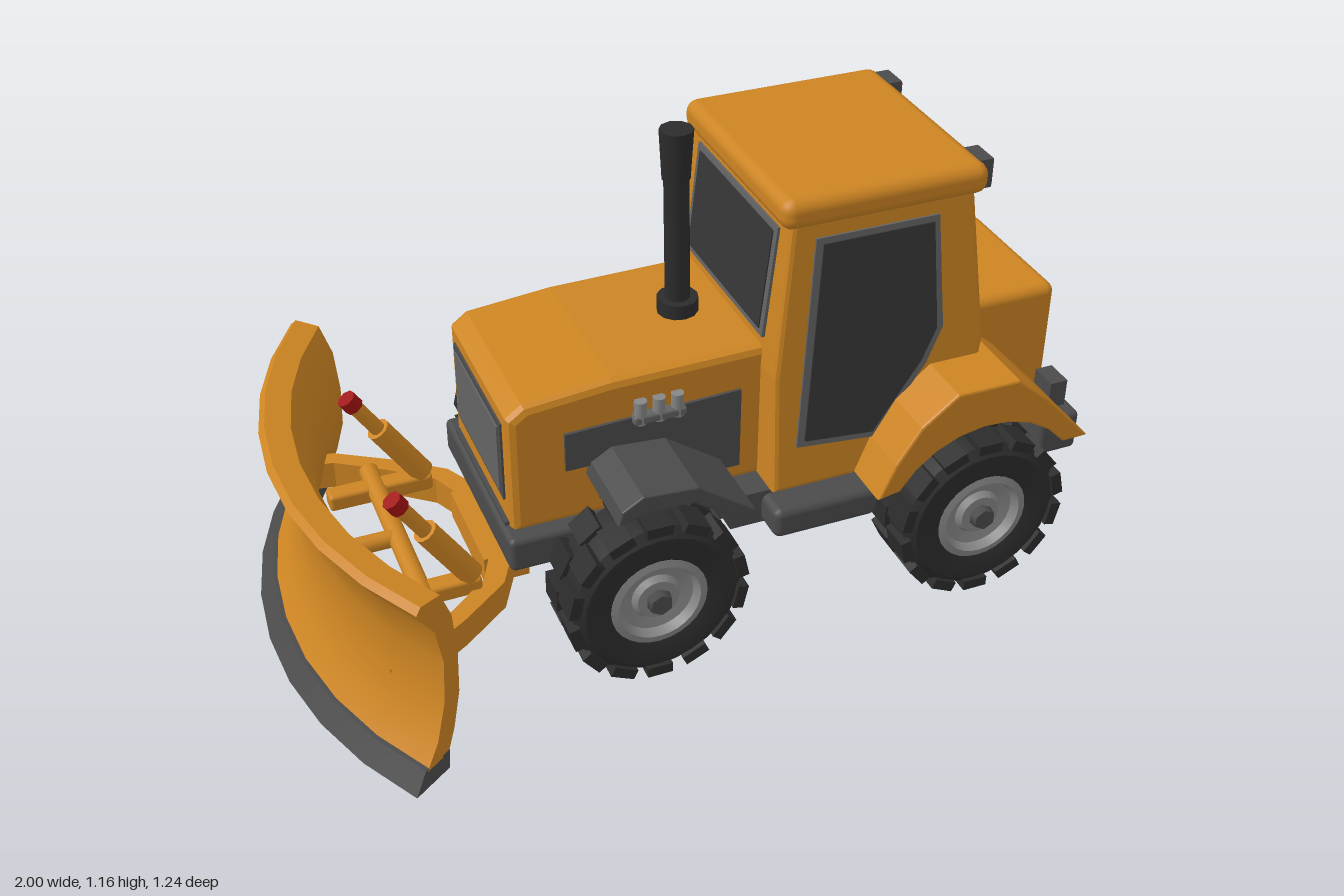
import * as THREE from 'three';
import { toCreasedNormals } from 'three/addons/utils/BufferGeometryUtils.js';
import { RoundedBoxGeometry } from 'three/addons/geometries/RoundedBoxGeometry.js';

const paint = (name, color) => Object.assign(new THREE.MeshStandardMaterial({ color }), { name });

export function createModel() {
  const orange = paint('orange paint', 0xcc8422);
  const rubber = paint('tyre rubber', 0x2c2c2c);
  const steel = paint('dark steel', 0x4b4b4b);
  const trim = paint('grey trim', 0x636363);
  const alloy = paint('rim grey', 0x868686);
  const glass = paint('dark glass', 0x363636);
  const red = paint('red lamp', 0xa01212);

  const model = new THREE.Group();
  model.name = 'bulldozer';
  const add = (name, geo, mat, parent = model) => {
    const mesh = new THREE.Mesh(geo, mat);
    mesh.name = name;
    parent.add(mesh);
    return mesh;
  };

  // Box given by its limits, optionally rounded
  const box = (name, mat, [x0, x1], [y0, y1], [z0, z1], r = 0, parent = model) => {
    const s = [x1 - x0, y1 - y0, z1 - z0];
    const geo = r ? new RoundedBoxGeometry(...s, 2, r) : new THREE.BoxGeometry(...s);
    geo.translate((x0 + x1) / 2, (y0 + y1) / 2, (z0 + z1) / 2);
    return add(name, geo, mat, parent);
  };

  // Side profile extruded from z0 to z1 with a small bevel inside the outline
  const outline = (pts) => new THREE.Shape(pts.map(([x, y]) => new THREE.Vector2(x, y)));
  const prismGeo = (pts, z0, z1, b = 0) => {
    const geo = new THREE.ExtrudeGeometry(outline(pts), {
      depth: z1 - z0 - 2 * b, bevelEnabled: b > 0, bevelSize: b, bevelThickness: b, bevelOffset: -b, bevelSegments: 2,
    });
    return geo.translate(0, 0, z0 + b);
  };
  const prism = (name, mat, pts, z0, z1, b) => add(name, prismGeo(pts, z0, z1, b), mat);
  const sideways = (s, z0, z1) => (s > 0 ? [z0, z1] : [-z1, -z0]);

  // Cylinder between two points
  const rod = (name, mat, a, b, r, sides = 12, r2 = r, parent = model) => {
    const p = new THREE.Vector3(...a), q = new THREE.Vector3(...b);
    const dir = q.clone().sub(p);
    const mesh = add(name, new THREE.CylinderGeometry(r2, r, dir.length(), sides), mat, parent);
    mesh.position.copy(p).add(q).multiplyScalar(0.5);
    mesh.quaternion.setFromUnitVectors(new THREE.Vector3(0, 1, 0), dir.normalize());
    return mesh;
  };

  // Cab walls lean inwards towards the roof
  const taper = (geo) => {
    const p = geo.attributes.position;
    for (let i = 0; i < p.count; i++) p.setZ(i, p.getZ(i) * (1 - 0.2 * (p.getY(i) - 0.6)));
    geo.computeVertexNormals();
    return geo;
  };

  // Chassis, bumpers and steps
  box('chassis', steel, [-0.46, 0.9], [0.24, 0.35], [-0.2, 0.2]);
  box('frontChassis', steel, [-0.47, 0.17], [0.25, 0.34], [-0.265, 0.265], 0.015);
  box('step', steel, [0.14, 0.41], [0.25, 0.33], [-0.38, 0.38], 0.02);
  prism('fuelTank', steel, [[0.02, 0.34], [0.06, 0.25], [0.4, 0.25], [0.46, 0.34]], -0.3, 0.3);
  box('rearBumper', steel, [0.89, 1.0], [0.245, 0.355], [-0.315, 0.315], 0.015);

  // Engine hood, grille and rear body
  prism('hood', orange, [[-0.45, 0.33], [-0.45, 0.64], [-0.41, 0.67], [-0.2, 0.69], [0.18, 0.695], [0.18, 0.33]], -0.225, 0.225, 0.02);
  box('grilleFrame', steel, [-0.455, -0.445], [0.4, 0.61], [-0.18, 0.18]);
  box('grille', trim, [-0.459, -0.45], [0.415, 0.595], [-0.165, 0.165]);
  box('rearBody', orange, [0.6, 0.965], [0.34, 0.665], [-0.195, 0.195], 0.025);

  // Exhaust stack
  rod('exhaustBase', rubber, [0.045, 0.68, 0], [0.045, 0.73, 0], 0.05);
  rod('exhaustPipe', rubber, [0.045, 0.72, 0], [0.04, 1.08, 0], 0.03);
  rod('exhaustTip', rubber, [0.04, 1.04, 0], [0.04, 1.165, 0], 0.033, 10, 0.04);

  // Cab shell with roof
  const cabSide = [[0.16, 0.34], [0.16, 0.65], [0.2, 1.04], [0.65, 1.04], [0.7, 0.64], [0.68, 0.5], [0.5, 0.5], [0.41, 0.34]];
  add('cab', taper(prismGeo(cabSide, -0.305, 0.305, 0.012)), orange);
  box('roof', orange, [0.175, 0.685], [1.015, 1.09], [-0.29, 0.29], 0.03);

  // Front and rear windows, leaning with the cab
  for (const [name, x, y, w, h, tilt] of [['rear', 0.6715, 0.842, 0.45, 0.295, 0.119], ['front', 0.1805, 0.86, 0.45, 0.28, -0.108]]) {
    const pane = new THREE.Group();
    pane.name = name + 'Window';
    pane.position.set(x, y, 0);
    pane.rotation.z = tilt;
    model.add(pane);
    add(name + 'WindowFrame', new THREE.BoxGeometry(0.012, h, w), trim, pane);
    add(name + 'WindowGlass', new THREE.BoxGeometry(0.018, h - 0.03, w - 0.035), glass, pane);
  }

  for (const s of [1, -1]) {
    // Side doors
    const frame = [[0.255, 0.99], [0.56, 0.99], [0.585, 0.7], [0.545, 0.61], [0.42, 0.44], [0.215, 0.46]];
    const pane = [[0.272, 0.975], [0.547, 0.975], [0.568, 0.7], [0.53, 0.62], [0.41, 0.457], [0.234, 0.474]];
    add('sideWindowFrame', taper(prismGeo(frame, ...sideways(s, 0.303, 0.311))), trim);
    add('sideWindowGlass', taper(prismGeo(pane, ...sideways(s, 0.306, 0.314))), glass);

    // Rear fender over the wheel
    const arch = [];
    for (let i = 0; i <= 8; i++) {
      const a = 0.66 + (i / 8) * 1.95;
      arch.push([0.655 + 0.265 * Math.cos(a), 0.225 + 0.265 * Math.sin(a)]);
    }
    const top = [[0.37, 0.35], [0.41, 0.44], [0.47, 0.53], [0.56, 0.6], [0.72, 0.6], [0.8, 0.53], [0.93, 0.39]];
    prism('rearFender', orange, [...top, ...arch], ...sideways(s, 0.18, 0.445), 0.006);

    // Exposed engine and front fender
    prism('enginePanel', steel, [[-0.32, 0.48], [-0.32, 0.58], [0.11, 0.595], [0.11, 0.38], [-0.24, 0.38], [-0.24, 0.48]], ...sideways(s, 0.2, 0.233));
    box('engineManifold', trim, [-0.16, -0.03], [0.57, 0.595], sideways(s, 0.22, 0.25), 0.008);
    for (let i = 0; i < 3; i++) {
      const x = -0.14 + i * 0.045;
      rod('engineCylinder', alloy, [x, 0.57, s * 0.235], [x, 0.63, s * 0.235], 0.016, 8);
    }
    prism('frontFender', steel, [[-0.27, 0.455], [-0.26, 0.49], [-0.21, 0.52], [-0.08, 0.51], [0.06, 0.41], [0.06, 0.38], [0.02, 0.39], [-0.09, 0.47], [-0.21, 0.47]], ...sideways(s, 0.2, 0.435), 0.004);

    // Tail lamps on the roof and above the bumper
    for (const [x, y, z] of [[0.69, 1.05, 0.218], [0.955, 0.4, 0.247]]) {
      box('lampHousing', steel, [x - 0.03, x + 0.016], [y - 0.036, y + 0.036], [s * z - 0.036, s * z + 0.036]);
      box('lampLens', red, [x + 0.012, x + 0.021], [y - 0.028, y + 0.028], [s * z - 0.029, s * z + 0.029]);
    }

    // Blade lift cylinders
    const z = s * 0.21;
    rod('liftCylinder', orange, [-0.55, 0.235, z], [-0.65, 0.39, z], 0.03);
    rod('liftRod', orange, [-0.64, 0.375, z], [-0.71, 0.485, z], 0.019);
    rod('liftCap', red, [-0.7, 0.468, z], [-0.718, 0.497, z], 0.024, 8);
    box('liftBracket', orange, [-0.79, -0.53], [0.19, 0.235], [z - 0.025, z + 0.025], 0.01);
  }

  // Wheels with staggered tread, dished rim and hub nut
  const v2 = ([x, y]) => new THREE.Vector2(x, y);
  const tyreProfile = [[0.1, -0.07], [0.13, -0.083], [0.18, -0.083], [0.203, -0.065], [0.207, 0], [0.203, 0.065], [0.18, 0.083], [0.13, 0.083], [0.1, 0.07]].map(v2);
  const rimProfile = [[0, -0.045], [0.105, -0.045], [0.118, 0.078], [0.1, 0.082], [0.09, 0.06], [0.06, 0.055], [0.05, 0.07], [0, 0.07]].map(v2);
  const wheel = (name, x, s) => {
    const g = new THREE.Group();
    g.name = name;
    g.position.set(x, 0.222, s * 0.37);
    if (s < 0) g.rotation.y = Math.PI;
    model.add(g);
    const lathe = (p) => toCreasedNormals(new THREE.LatheGeometry(p, 28).rotateX(Math.PI / 2), 0.6);
    add('tyre', lathe(tyreProfile), rubber, g);
    add('rim', lathe(rimProfile), alloy, g);
    add('hubNut', new THREE.CylinderGeometry(0.028, 0.032, 0.03, 6).rotateX(Math.PI / 2).translate(0, 0, 0.078), steel, g);
    add('innerHub', new THREE.CylinderGeometry(0.1, 0.1, 0.02, 20).rotateX(Math.PI / 2).translate(0, 0, -0.055), orange, g);
    for (let i = 0; i < 28; i++) {
      const side = i % 2 ? 1 : -1;
      const block = new THREE.BoxGeometry(0.026, 0.062, 0.08);
      block.translate(0.205, 0, side * 0.044).rotateZ((i / 28) * Math.PI * 2);
      add('treadBlock', block, rubber, g);
    }
  };
  for (const [end, x] of [['front', -0.178], ['rear', 0.657]]) {
    wheel(end + 'WheelNear', x, 1);
    wheel(end + 'WheelFar', x, -1);
    rod(end + 'Axle', trim, [x, 0.215, -0.33], [x, 0.215, 0.33], 0.033);
  }

  // Curved blade: profile swept around an arc; the shape x is minus the radius
  const ARC = 0.595;
  const sweep = (name, mat, pts) => {
    const geo = new THREE.ExtrudeGeometry(outline(pts), { depth: 2 * ARC, steps: 8, bevelEnabled: false });
    const p = geo.attributes.position;
    for (let i = 0; i < p.count; i++) {
      const r = -p.getX(i), a = p.getZ(i) - ARC;
      p.setXYZ(i, 0.11 - r * Math.cos(a), p.getY(i), r * Math.sin(a));
    }
    geo.computeVertexNormals();
    add(name, toCreasedNormals(geo, 0.5), mat);
  };
  sweep('blade', orange, [[-1.07, 0.055], [-1.03, 0.11], [-1.0, 0.2], [-0.99, 0.31], [-1.01, 0.41], [-1.06, 0.49], [-1.045, 0.505],
    [-0.985, 0.495], [-0.955, 0.42], [-0.945, 0.31], [-0.95, 0.2], [-0.975, 0.11], [-1.0, 0.055]]);
  sweep('cuttingEdge', steel, [[-1.11, 0.01], [-1.075, 0.062], [-0.995, 0.062], [-1.0, 0.01]]);

  // Push frame: a flat arch from blade to chassis
  const outer = [[-0.8, 0.42], [-0.73, 0.405], [-0.6, 0.325], [-0.48, 0.235], [-0.43, 0.14]];
  const inner = [[-0.8, 0.375], [-0.74, 0.365], [-0.62, 0.285], [-0.52, 0.205], [-0.48, 0.12]];
  const flip = (pts) => pts.map(([x, z]) => [x, -z]).reverse();
  const frame = prismGeo([...outer, ...flip(outer), ...inner.map(([x, z]) => [x, -z]), ...flip(inner).map(([x, z]) => [x, -z]).map(([x, z]) => [x, z])], 0, 0.075);
  add('pushFrame', frame.rotateX(Math.PI / 2).translate(0, 0.205, 0), orange);
  box('pushBeam', orange, [-0.5, -0.39], [0.13, 0.205], [-0.14, 0.14]);
  rod('crossShaft', orange, [-0.67, 0.22, -0.28], [-0.67, 0.22, 0.28], 0.024);
  rod('centreLink', orange, [-0.86, 0.22, 0], [-0.67, 0.22, 0], 0.022);
  return model;
}
